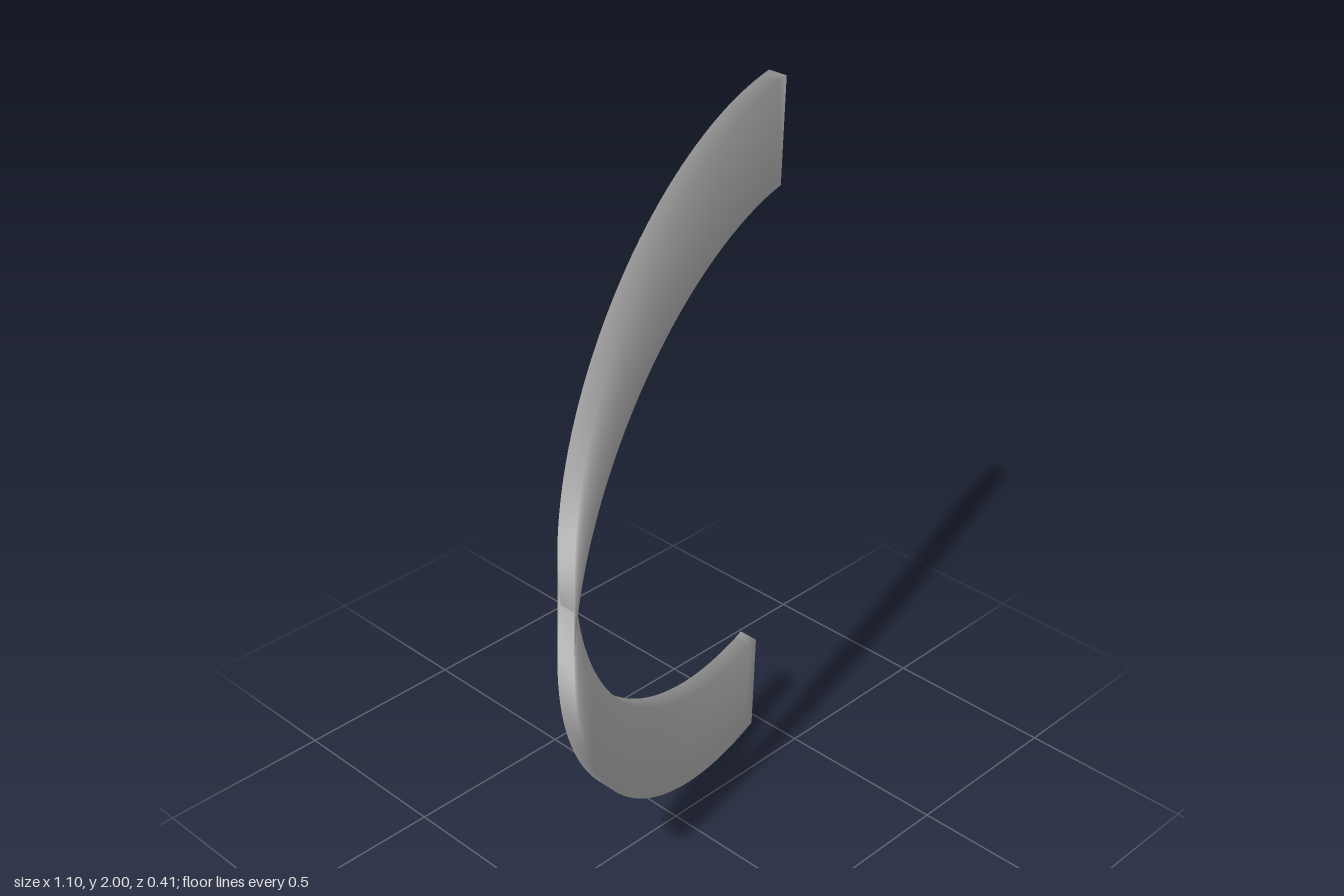
import * as THREE from 'three';

// Open rectangular tube: an upright section carried, unrotated, along a half ellipse
export function createModel() {
  const group = new THREE.Group();
  const steps = 80, height = 0.295, depth = 0.06;

  // Ellipse centre and its two half axes (upright and toward the left front)
  const centre = new THREE.Vector3(0.512, 1.147, -0.145);
  const upright = new THREE.Vector3(0.033, 0.852, 0);
  const sideways = new THREE.Vector3(-1.055, 0.04, 0.35);

  // Section corners: front top, front bottom, back bottom, back top
  const lean = -0.011;
  const section = [
    [0, 0, 0],
    [lean, -height, 0],
    [lean, -height, -depth],
    [0, 0, -depth],
  ].map((c) => new THREE.Vector3(...c));

  const positions = [], indices = [];
  for (let i = 0; i <= steps; i++) {
    const t = (i / steps) * Math.PI;
    const p = centre.clone()
      .addScaledVector(upright, Math.cos(t))
      .addScaledVector(sideways, Math.sin(t));
    for (const corner of section) positions.push(...p.clone().add(corner).toArray());
  }

  // Four walls between neighbouring rings, ends left open
  for (let i = 0; i < steps; i++) {
    for (let k = 0; k < 4; k++) {
      const a = i * 4 + k, b = i * 4 + (k + 1) % 4;
      const c = b + 4, d = a + 4;
      indices.push(d, c, b, d, b, a);
    }
  }

  const geometry = new THREE.BufferGeometry();
  geometry.setAttribute('position', new THREE.Float32BufferAttribute(positions, 3));
  geometry.setIndex(indices);
  geometry.computeVertexNormals();

  const band = new THREE.Mesh(
    geometry,
    new THREE.MeshStandardMaterial({ color: 0xcccccc, side: THREE.DoubleSide })
  );
  band.name = 'curvedBand';
  group.add(band);
  return group;
}
